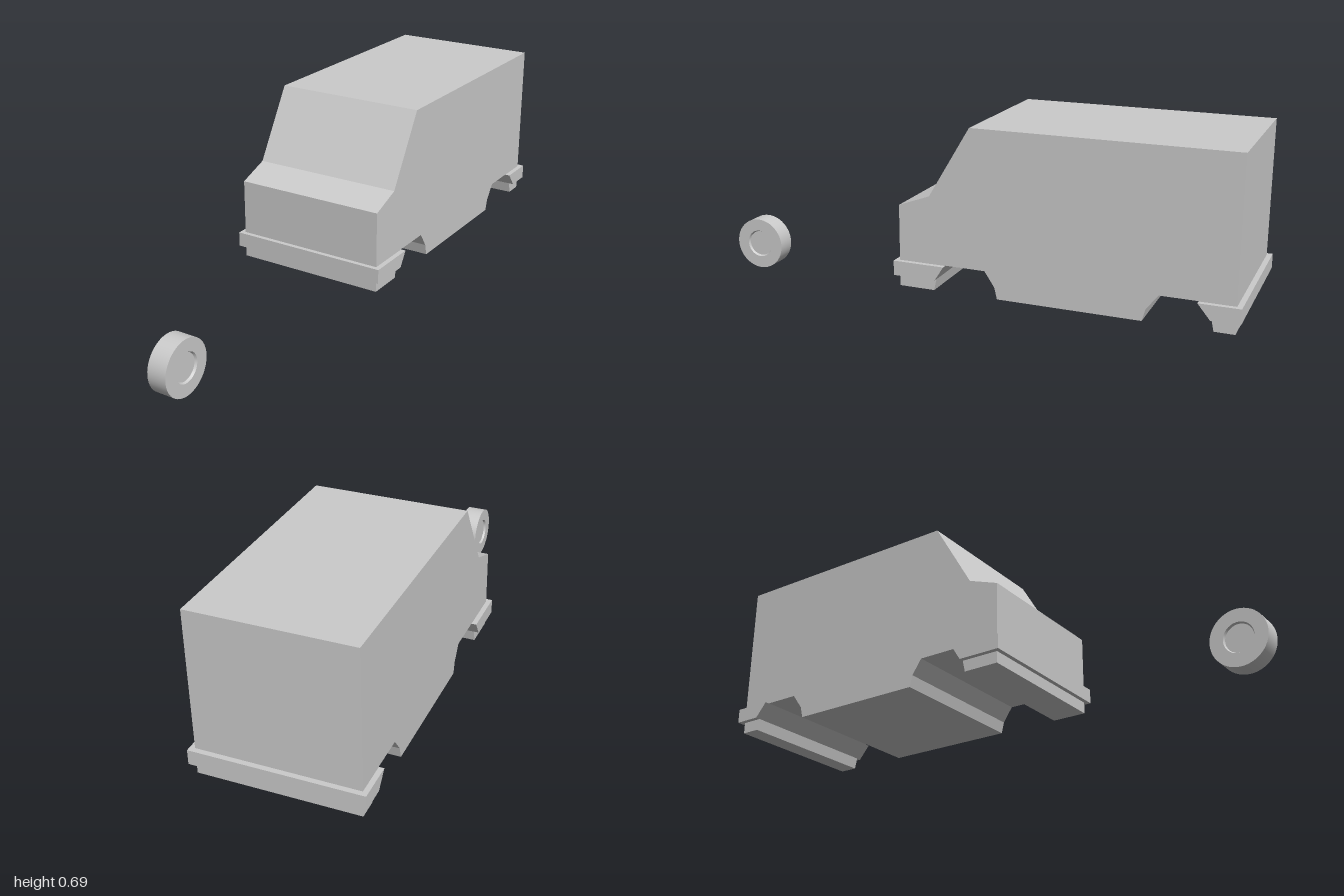
import * as THREE from 'three';

const grey = new THREE.MeshStandardMaterial({ color: 0xcccccc });

// Extrudes a side profile of [z, y] points across the width, centred on x = 0
function sidePanel(name, profile, width) {
  const shape = new THREE.Shape(profile.map(([z, y]) => new THREE.Vector2(z, y)));
  const geometry = new THREE.ExtrudeGeometry(shape, { depth: width, bevelEnabled: false });
  geometry.translate(0, 0, -width / 2);
  geometry.rotateY(-Math.PI / 2);
  const mesh = new THREE.Mesh(geometry, grey);
  mesh.name = name;
  return mesh;
}

function createWheel() {
  const r = 0.097, hub = 0.052, half = 0.035, recess = 0.008;
  const parts = new THREE.Group();
  parts.name = 'wheel';

  // Tread
  const tread = new THREE.Mesh(new THREE.CylinderGeometry(r, r, half * 2, 48, 1, true), grey);
  tread.name = 'tread';
  parts.add(tread);

  // Both faces: flat ring, short recess wall and hub disc
  for (const side of [1, -1]) {
    const face = new THREE.Group();
    face.name = 'wheelFace';
    const ring = new THREE.Mesh(new THREE.RingGeometry(hub, r, 48), grey);
    ring.name = 'sidewall';
    ring.position.z = half;
    const wall = new THREE.Mesh(
      new THREE.LatheGeometry([new THREE.Vector2(hub, half), new THREE.Vector2(hub - 0.004, half - recess)], 48),
      new THREE.MeshStandardMaterial({ color: 0xcccccc, side: THREE.DoubleSide })
    );
    wall.name = 'hubRim';
    wall.rotation.x = Math.PI / 2;
    const disc = new THREE.Mesh(new THREE.CircleGeometry(hub - 0.004, 48), grey);
    disc.name = 'hubDisc';
    disc.position.z = half - recess;
    face.add(ring, wall, disc);
    face.rotation.x = -side * Math.PI / 2;
    parts.add(face);
  }

  parts.rotation.z = Math.PI / 2;
  parts.position.set(0.007, r, 0.903);
  return parts;
}

export function createModel() {
  const model = new THREE.Group();
  model.name = 'van';

  // Body with sloping bonnet, windscreen and two wheel arches
  model.add(sidePanel('body', [
    [0.175, 0.106], [0.175, 0.396], [0.062, 0.438], [-0.085, 0.685],
    [-0.982, 0.685], [-0.982, 0.106],
    [-0.914, 0.106], [-0.905, 0.147], [-0.862, 0.2], [-0.735, 0.2], [-0.695, 0.147], [-0.684, 0.106],
    [-0.186, 0.106], [-0.176, 0.147], [-0.14, 0.2], [0.004, 0.2], [0.037, 0.147], [0.046, 0.106],
  ], 0.549));

  // Bumpers, cut off along the arches
  model.add(sidePanel('frontBumper', [[0.191, 0.147], [0.191, 0.199], [0.004, 0.199], [0.037, 0.147]], 0.584));
  model.add(sidePanel('rearBumper', [[-1, 0.147], [-0.905, 0.147], [-0.862, 0.199], [-1, 0.199]], 0.584));

  // Loose wheel lying ahead of the body
  model.add(createWheel());
  return model;
}
